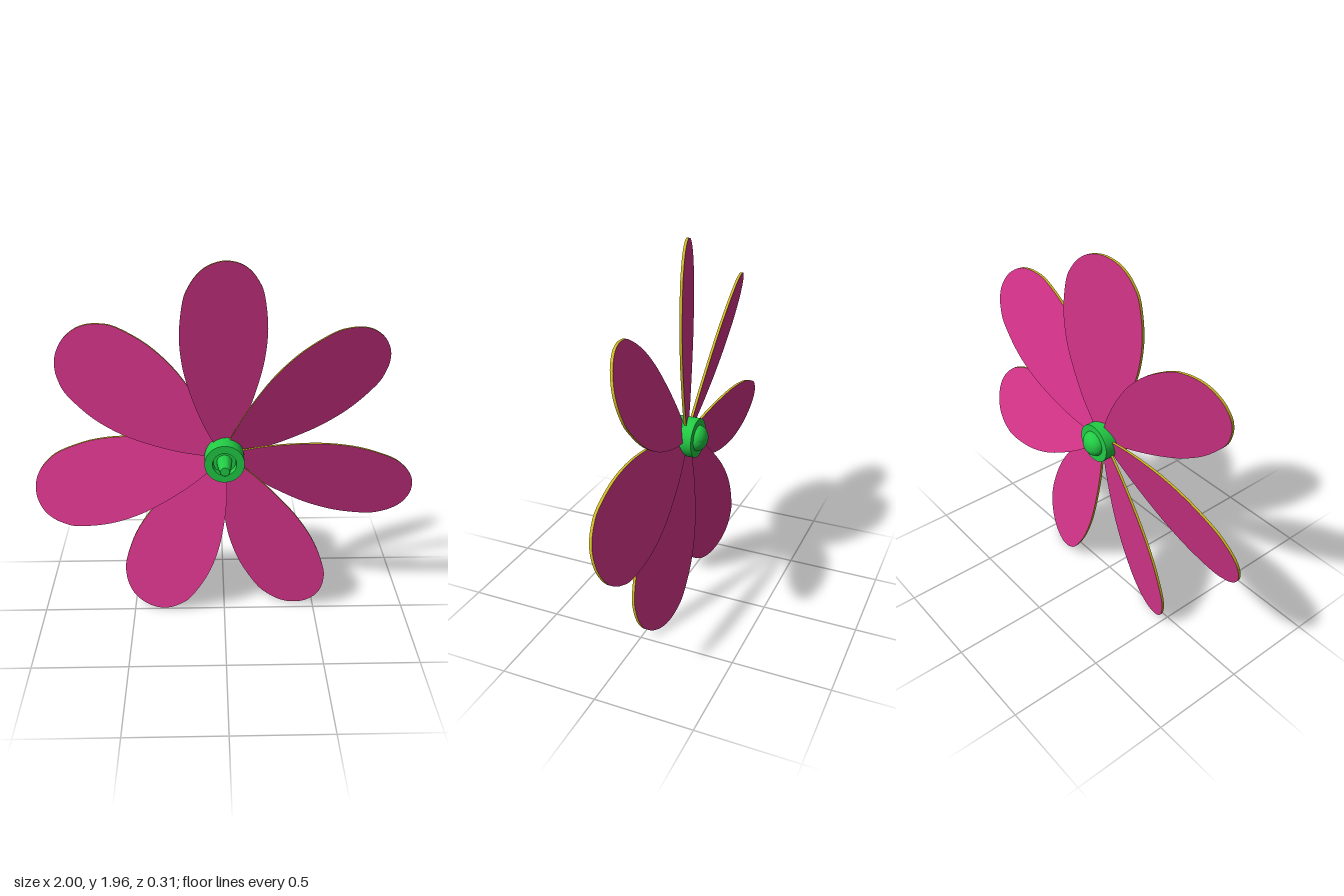
import * as THREE from 'three';
import { toCreasedNormals } from 'three/addons/utils/BufferGeometryUtils.js';

const BLADES = 7, CENTRE_Y = 0.94, PITCH = 0.28, THICK = 0.014, BLADE_Z = -0.04;

const paint = (color) => new THREE.MeshStandardMaterial({ color });

// Petal-shaped blade along +y, sheared so its right edge falls back
function bladeGeometry() {
  const half = [[0.025, 0.02], [0.06, 0.09], [0.112, 0.2], [0.163, 0.34], [0.205, 0.5],
    [0.22, 0.67], [0.2, 0.84], [0.165, 0.92], [0.122, 0.973], [0.07, 1.006]];
  const outline = [
    ...half.map(([x, y]) => new THREE.Vector2(x, y)),
    new THREE.Vector2(0, 1.02),
    ...half.map(([x, y]) => new THREE.Vector2(-x, y)).reverse(),
  ];
  const shape = new THREE.Shape(new THREE.SplineCurve(outline).getPoints(80));
  const geo = new THREE.ExtrudeGeometry(shape, { depth: THICK, bevelEnabled: false });
  const p = geo.attributes.position;
  for (let i = 0; i < p.count; i++) {
    p.setZ(i, p.getZ(i) - THICK / 2 + BLADE_Z - PITCH * p.getX(i));
  }
  return toCreasedNormals(geo, 0.6);
}

// Round part turned about the z axis from [radius, z] pairs, back to front
function turned(name, profile, material) {
  const geo = new THREE.LatheGeometry(profile.map(([r, z]) => new THREE.Vector2(r, z)), 40);
  geo.rotateX(Math.PI / 2);
  const mesh = new THREE.Mesh(toCreasedNormals(geo, 0.6), material);
  mesh.name = name;
  return mesh;
}

export function createModel() {
  const model = new THREE.Group();
  model.name = 'propeller';
  const rotor = new THREE.Group();
  rotor.name = 'rotor';
  rotor.position.y = CENTRE_Y;
  model.add(rotor);

  const pink = paint(0xd9358c), yellow = paint(0xcdb822), green = paint(0x22cc44);

  // Blades: coloured faces with a contrasting rim
  const geo = bladeGeometry();
  for (let i = 0; i < BLADES; i++) {
    const blade = new THREE.Mesh(geo, [pink, yellow]);
    blade.name = `blade${i + 1}`;
    blade.rotation.z = -i * Math.PI * 2 / BLADES;
    rotor.add(blade);
  }

  // Hub with a recessed front face
  rotor.add(turned('hub', [[0, -0.105], [0.103, -0.105], [0.103, 0.07], [0.062, 0.07],
    [0.058, 0.04], [0, 0.04]], green));

  // Tapered shaft pin standing in the recess
  rotor.add(turned('shaftPin', [[0.04, 0.03], [0.037, 0.08], [0.027, 0.15], [0.023, 0.155], [0, 0.155]], green));

  // Domed cap at the back
  const dome = [];
  for (let i = 0; i <= 10; i++) {
    const a = (i / 10) * Math.PI / 2;
    dome.push([0.068 * Math.sin(a), -0.1 - 0.055 * Math.cos(a)]);
  }
  rotor.add(turned('rearCap', dome, green));

  return model;
}
